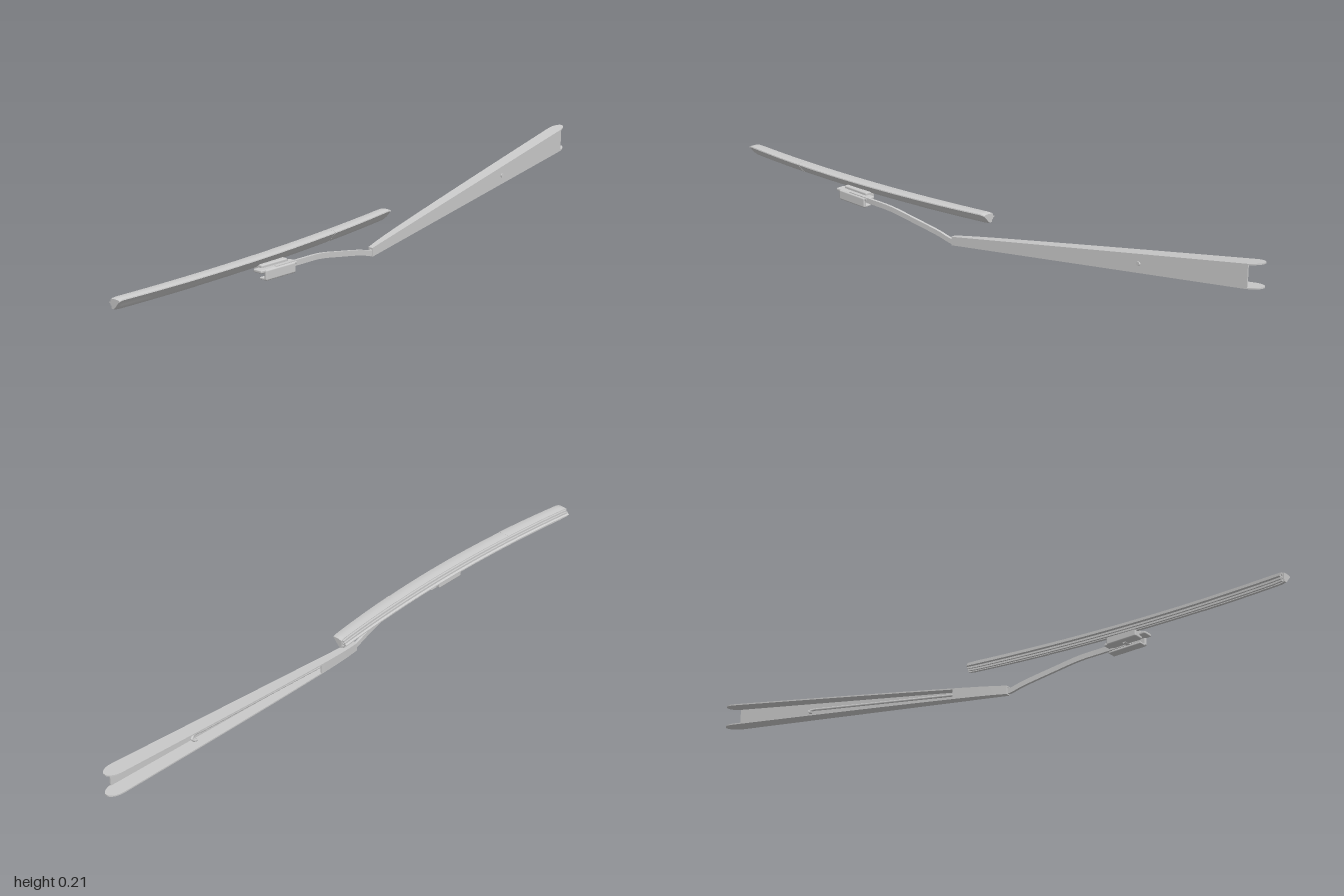
import * as THREE from 'three';
import { toCreasedNormals } from 'three/addons/utils/BufferGeometryUtils.js';
import { RoundedBoxGeometry } from 'three/addons/geometries/RoundedBoxGeometry.js';

const material = new THREE.MeshStandardMaterial({ color: 0xcccccc });

function add(parent, name, geometry, x = 0, y = 0, z = 0) {
  const mesh = new THREE.Mesh(geometry, material);
  mesh.name = name;
  mesh.position.set(x, y, z);
  parent.add(mesh);
  return mesh;
}

// Solid loft along x: section(x) returns a closed loop of [z, y] points
function loft(xs, section, crease = 0.6) {
  const loops = xs.map(section);
  const n = loops[0].length;
  const pos = [], index = [];
  loops.forEach((loop, i) => loop.forEach(([z, y]) => pos.push(xs[i], y, z)));
  for (let i = 0; i < xs.length - 1; i++) {
    for (let j = 0; j < n; j++) {
      const a = i * n + j, b = i * n + (j + 1) % n;
      index.push(a, b, a + n, b, b + n, a + n);
    }
  }
  const flat = loops[0].map(([z, y]) => new THREE.Vector2(z, y));
  const area = THREE.ShapeUtils.area(flat);
  const last = (xs.length - 1) * n;
  for (const [a, b, c] of THREE.ShapeUtils.triangulateShape(flat, [])) {
    // cap triangles share the winding of the loop
    const s = THREE.ShapeUtils.area([flat[a], flat[b], flat[c]]) * area > 0;
    const [p, q] = s ? [b, c] : [c, b];
    index.push(a, q, p, last + a, last + p, last + q);
  }
  // keep faces outward whichever way the loop runs and x steps
  if (area * (xs[1] - xs[0]) > 0) {
    for (let i = 0; i < index.length; i += 3) [index[i], index[i + 1]] = [index[i + 1], index[i]];
  }
  const geometry = new THREE.BufferGeometry();
  geometry.setAttribute('position', new THREE.Float32BufferAttribute(pos, 3));
  geometry.setIndex(index);
  return toCreasedNormals(geometry, crease);
}

const rect = (z0, z1, y0, y1) => [[z0, y0], [z1, y0], [z1, y1], [z0, y1]];
const steps = (a, b, n) => Array.from({ length: n + 1 }, (_, i) => a + (b - a) * i / n);

// Arm channel: edges as straight functions of x, open to the back
const webZ = x => 0.050 - 0.093 * x;
const bottomY = x => Math.max(0, 0.007 + 0.128 * x);
const topY = x => 0.036 + 0.172 * x;
const depth = x => 0.016 + 0.032 * Math.sqrt(Math.max(0, x + 0.03));

function buildArm() {
  const arm = new THREE.Group();
  arm.name = 'arm';
  const t = 0.004;
  add(arm, 'armWeb', loft(steps(-0.05, 0.965, 12),
    x => rect(webZ(x) - t, webZ(x), bottomY(x), topY(x))));

  // Upper and lower flanges with rounded ends past the web
  const tip = [0.965, 0.975, 0.985, 0.992, 0.997, 1];
  const xs = [...steps(-0.05, 0.95, 12), ...tip];
  const flange = (name, yAt) => add(arm, name, loft(xs, x => {
    const u = Math.max(0, (x - 0.955) / 0.045);
    const half = depth(x) / 2 * Math.sqrt(Math.max(0.04, 1 - u * u));
    const mid = webZ(x) - depth(x) / 2;
    const y = yAt(x);
    return rect(mid - half, mid + half, y, y + t);
  }));
  flange('upperFlange', x => topY(x) - t);
  flange('lowerFlange', bottomY);

  // Rivet through the web, with the spring hook and pull rod behind it
  const midY = x => (topY(x) + bottomY(x)) / 2;
  const rivet = add(arm, 'rivet', new THREE.CylinderGeometry(0.006, 0.006, 0.008, 16),
    0.62, midY(0.62), webZ(0.62));
  rivet.rotation.x = Math.PI / 2;
  const pull = [0.1, 0.3, 0.5, 0.62, 0.66].map(x =>
    new THREE.Vector3(x, midY(x), webZ(x) - 0.016));
  pull.push(new THREE.Vector3(0.675, midY(0.67) - 0.008, webZ(0.67) - 0.024));
  pull.push(new THREE.Vector3(0.655, midY(0.66) - 0.014, webZ(0.66) - 0.024));
  add(arm, 'springRod', new THREE.TubeGeometry(new THREE.CatmullRomCurve3(pull), 48, 0.004, 8));

  // Folded sleeve gripping the blade rod
  add(arm, 'rodSleeve', loft(steps(-0.05, 0.13, 4), x =>
    rect(webZ(x) - depth(x), webZ(x) - depth(x) + t, bottomY(x), topY(x))));
  return arm;
}

// Bent flat bar from the arm to the blade connector
function buildRod() {
  const path = new THREE.CatmullRomCurve3([
    [0.12, 0.037, 0.031], [0, 0.017, 0.043], [-0.05, 0.012, 0.049], [-0.1, 0.024, 0.054],
    [-0.2, 0.043, 0.065], [-0.29, 0.058, 0.074], [-0.37, 0.061, 0.079], [-0.47, 0.061, 0.080],
  ].map(p => new THREE.Vector3(...p)));
  const points = path.getPoints(40).reverse();
  const at = new Map(points.map(p => [p.x, p]));
  return loft(points.map(p => p.x), x => {
    const { y, z } = at.get(x);
    return rect(z - 0.004, z + 0.004, y - 0.008, y + 0.008);
  });
}

// Bowed blade: profiles are [z, y] points placed along a shallow arc
const bladeLoft = (xs, profile, grow = 1) => loft(xs, x => {
  const t = (x + 0.47) / 0.53;
  const end = Math.max(0, Math.abs(t) - 0.97) / 0.03;
  const s = (1 - 0.15 * t * t) * grow;
  const h = (1 - 0.2 * end * end) * grow;
  const z0 = 0.018 - 0.028 * t * t - 0.01 * t;
  const y0 = 0.051 + 0.031 * (x + 1);
  return profile.map(([z, y]) => [z0 + z * s, y0 + 0.0175 + (y - 0.0175) * h]);
});

function buildBlade() {
  const blade = new THREE.Group();
  blade.name = 'blade';
  // Spoiler with a concave lower front face and a thin upper front lip
  const spoiler = [[0.018, 0.001], [0.027, 0.001], [0.034, 0.006], [0.041, 0.014], [0.048, 0.023],
    [0.056, 0.030], [0.055, 0.033], [0.046, 0.035], [0.032, 0.035], [0.018, 0.033]];
  const tipXs = [-1, -0.997, -0.992, -0.984];
  add(blade, 'spoilerMiddle', bladeLoft(steps(-0.74, -0.2, 16), spoiler));
  add(blade, 'spoilerRight', bladeLoft([...tipXs, ...steps(-0.97, -0.73, 8)], spoiler, 1.02));
  add(blade, 'spoilerLeft', bladeLoft(
    [...steps(-0.21, 0.03, 8), ...tipXs.map(x => -0.94 - x).reverse()], spoiler, 1.02));

  // Rubber behind the spoiler: claw rails, spine, shoulder and wiping lip
  const xs = steps(-0.995, 0.055, 36);
  const parts = [
    ['lowerRail', rect(0.012, 0.020, 0.003, 0.010)],
    ['upperRail', rect(0.012, 0.020, 0.024, 0.031)],
    ['rubberSpine', rect(0.008, 0.020, 0.014, 0.020)],
    ['rubberShoulder', rect(0.006, 0.011, 0.008, 0.026)],
    ['wipingLip', [[0, 0.016], [0.008, 0.013], [0.008, 0.021], [0, 0.018]]],
  ];
  for (const [name, profile] of parts) add(blade, name, bladeLoft(xs, profile));
  return blade;
}

function buildConnector() {
  const connector = new THREE.Group();
  connector.name = 'connector';
  const box = (name, w, h, d, x, y, z, r = 0.004) =>
    add(connector, name, new RoundedBoxGeometry(w, h, d, 2, r), x, y, z);
  box('bladeMount', 0.10, 0.026, 0.034, -0.46, 0.063, 0.051);
  box('cover', 0.115, 0.030, 0.010, -0.455, 0.051, 0.083);
  box('upperCheek', 0.14, 0.009, 0.032, -0.459, 0.063, 0.069, 0.003);
  box('lowerCheek', 0.11, 0.006, 0.028, -0.455, 0.038, 0.072, 0.002);
  const pin = add(connector, 'pivotPin', new THREE.CylinderGeometry(0.006, 0.006, 0.034, 16), -0.46, 0.052, 0.066);
  pin.rotation.x = Math.PI / 2;
  return connector;
}

export function createModel() {
  const model = new THREE.Group();
  model.name = 'windscreenWiper';
  model.add(buildArm(), buildBlade(), buildConnector());
  add(model, 'rod', buildRod());
  return model;
}
